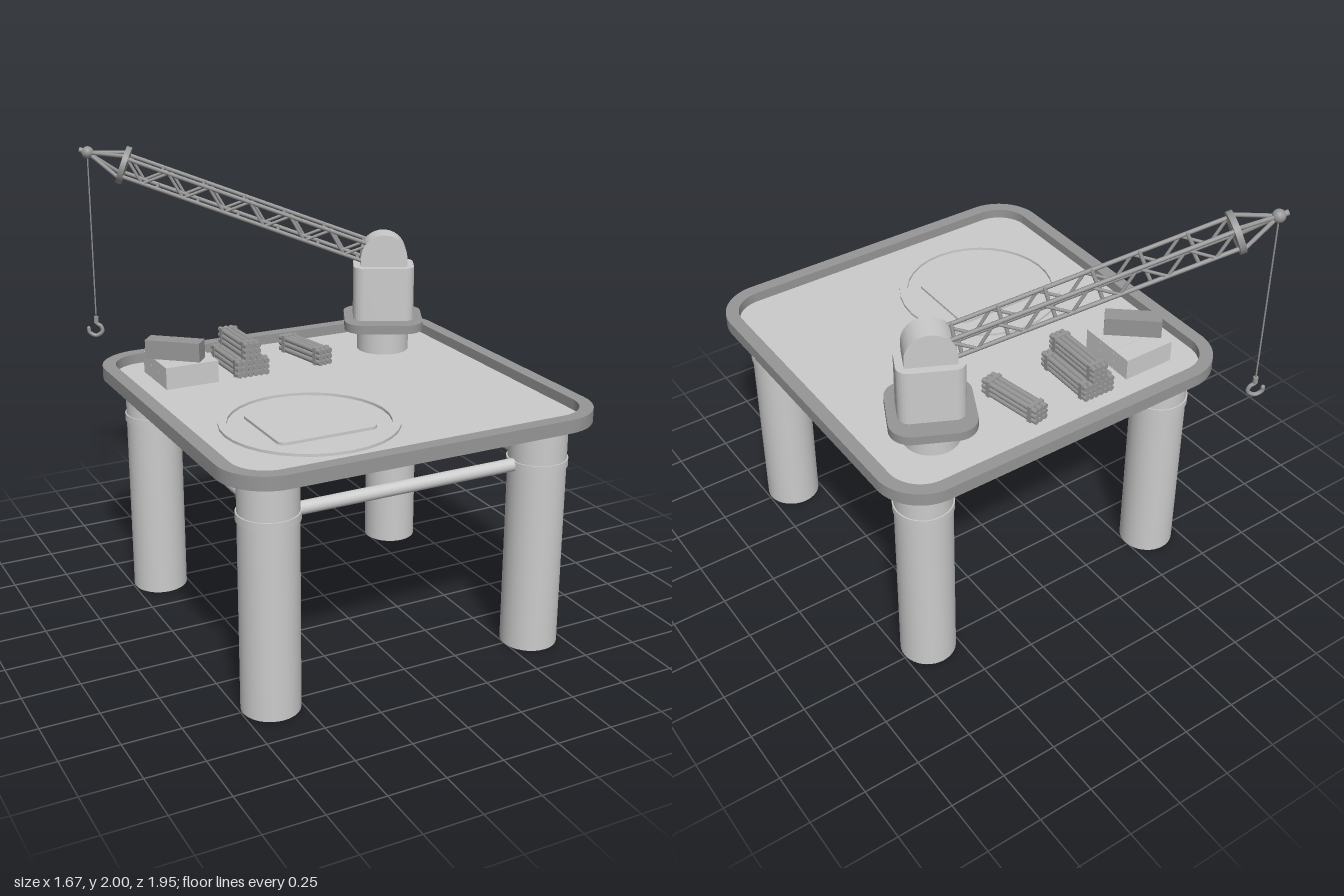
import * as THREE from 'three';
import { toCreasedNormals } from 'three/addons/utils/BufferGeometryUtils.js';

const light = new THREE.MeshStandardMaterial({ color: 0xcccccc });
const dark = new THREE.MeshStandardMaterial({ color: 0x969696 });
const V = (x, y, z) => new THREE.Vector3(x, y, z);

function add(parent, name, geometry, material, x = 0, y = 0, z = 0) {
  const mesh = new THREE.Mesh(geometry, material);
  mesh.name = name;
  mesh.position.set(x, y, z);
  parent.add(mesh);
  return mesh;
}

function group(parent, name, x = 0, y = 0, z = 0) {
  const g = new THREE.Group();
  g.name = name;
  g.position.set(x, y, z);
  parent.add(g);
  return g;
}

// Straight round bar between two points
function rod(parent, name, a, b, r, material, sides = 8) {
  const mesh = add(parent, name, new THREE.CylinderGeometry(r, r, a.distanceTo(b), sides), material);
  mesh.position.copy(a).lerp(b, 0.5);
  mesh.quaternion.setFromUnitVectors(V(0, 1, 0), b.clone().sub(a).normalize());
  return mesh;
}

// Rounded rectangle outline with half sizes w, d and corner radius r
function roundedRect(w, d, r, Type = THREE.Shape) {
  const s = new Type();
  s.absarc(w - r, d - r, r, 0, Math.PI / 2);
  s.absarc(-w + r, d - r, r, Math.PI / 2, Math.PI);
  s.absarc(-w + r, -d + r, r, Math.PI, 1.5 * Math.PI);
  s.absarc(w - r, -d + r, r, 1.5 * Math.PI, 2 * Math.PI);
  s.closePath();
  return s;
}

// Plate lying flat, its underside at y = 0
function plate(shape, height) {
  const g = new THREE.ExtrudeGeometry(shape, { depth: height, bevelEnabled: false, curveSegments: 16 });
  g.rotateX(-Math.PI / 2);
  return toCreasedNormals(g, 0.6);
}

function buildTable(root) {
  const table = group(root, 'table', 0, 0, 0.135);
  add(table, 'deckFloor', plate(roundedRect(0.8, 0.8, 0.17), 0.012), light, 0, 1.028, 0);
  const rim = roundedRect(0.837, 0.837, 0.21);
  rim.holes.push(roundedRect(0.778, 0.778, 0.15, THREE.Path));
  add(table, 'deckRim', plate(rim, 0.058), dark, 0, 1.027, 0);

  // Legs with collars, joined by rails
  const p = 0.62;
  for (const sx of [-1, 1]) {
    for (const sz of [-1, 1]) {
      add(table, 'leg', new THREE.CylinderGeometry(0.123, 0.123, 1.03, 40), light, sx * p, 0.515, sz * p);
      add(table, 'legCollar', new THREE.CylinderGeometry(0.129, 0.129, 0.034, 40), light, sx * p, 0.84, sz * p);
    }
    rod(table, 'sideRail', V(sx * p, 0.838, -p), V(sx * p, 0.838, p), 0.028, light, 20);
    rod(table, 'crossRail', V(-p, 0.838, sx * p), V(p, 0.838, sx * p), 0.028, light, 20);
  }

  // Round landing pad on the deck
  const ring = new THREE.Shape().absarc(0, 0, 0.375, 0, Math.PI * 2);
  ring.holes.push(new THREE.Path().absarc(0, 0, 0.339, 0, Math.PI * 2));
  const pad = group(table, 'landingPad', -0.274, 1.04, 0.279);
  add(pad, 'padRing', plate(ring, 0.012), light);
  add(pad, 'padPlate', plate(roundedRect(0.222, 0.19, 0.035), 0.012), light, 0.002, 0, -0.003);
}

// Nine logs held by two straps
function logBundle(parent, x, y, z, turn = 0) {
  const bundle = group(parent, 'logBundle', x, y, z);
  bundle.rotation.y = turn;
  const d = 0.026;
  for (let i = -1; i <= 1; i++) {
    for (let j = 0; j < 3; j++) {
      const cy = d * (j + 0.5);
      rod(bundle, 'log', V(i * d, cy, -0.155), V(i * d, cy, 0.155), d / 2, dark, 12);
    }
  }
  for (const sz of [-0.12, 0.12]) {
    add(bundle, 'strap', new THREE.BoxGeometry(3 * d + 0.003, 3 * d + 0.003, 0.02), dark, 0, 1.5 * d, sz);
  }
}

function buildCargo(root) {
  const cargo = group(root, 'cargo');
  for (let i = -1; i <= 1; i++) {
    add(cargo, 'crate', new THREE.BoxGeometry(0.245, 0.1, 0.0925), light, -0.525, 1.089, -0.37 + i * 0.0935);
  }
  const top = add(cargo, 'topCrate', new THREE.BoxGeometry(0.25, 0.085, 0.08), dark, -0.557, 1.1815, -0.352);
  top.rotation.y = -0.7;
  logBundle(cargo, -0.275, 1.04, -0.38);
  logBundle(cargo, -0.196, 1.04, -0.38);
  logBundle(cargo, -0.236, 1.118, -0.38);
  logBundle(cargo, 0.096, 1.04, -0.38, 0.19);
}

// Lattice arm running along local +x
function buildArm(crane) {
  const arm = group(crane, 'latticeArm', 0.08, 1.51, 0);
  arm.rotation.z = 0.347;
  const L = 1.17, h = 0.042, w = 0.05, bays = 6, step = L / bays;
  for (const sz of [-w, w]) {
    for (const sy of [-h, h]) {
      rod(arm, 'chord', V(0, sy, sz), V(L, sy, sz), 0.0095, dark);
      rod(arm, 'tipStay', V(L, sy * 1.3, sz * 1.1), V(1.35, 0, 0), 0.009, dark);
    }
    for (let i = 0; i < bays; i++) {
      const x = i * step;
      rod(arm, 'diagonal', V(x, h, sz), V(x + step / 2, -h, sz), 0.007, dark);
      rod(arm, 'diagonal', V(x + step / 2, -h, sz), V(x + step, h, sz), 0.007, dark);
    }
  }
  for (let i = 0; i <= bays; i++) {
    const x = Math.min(i * step + 0.03, L);
    for (const sy of [-h, h]) rod(arm, 'crossbar', V(x, sy, -w), V(x, sy, w), 0.008, dark);
  }
  rod(arm, 'endDisc', V(1.165, 0, 0), V(1.19, 0, 0), 0.088, dark, 36);
  add(arm, 'tipBall', new THREE.SphereGeometry(0.028, 20, 14), dark, 1.35, 0, 0);
  rod(arm, 'tipPin', V(1.35, 0, 0), V(1.39, 0, 0), 0.012, dark, 12);
}

function buildCrane(root) {
  const crane = group(root, 'crane', 0.492, 0, -0.354);
  crane.rotation.y = Math.PI - 0.456;
  add(crane, 'pedestal', new THREE.CylinderGeometry(0.121, 0.121, 0.125, 40), light, 0, 1.1, 0);
  add(crane, 'turntable', plate(roundedRect(0.182, 0.182, 0.095), 0.04), dark, 0, 1.157, 0);
  add(crane, 'cab', plate(roundedRect(0.14, 0.1, 0.05), 0.252), light, 0, 1.195, 0);

  // Arched housing over the arm pivot
  const arch = new THREE.Shape();
  arch.moveTo(-0.107, -0.06);
  arch.lineTo(0.107, -0.06);
  arch.absarc(0, 0, 0.107, 0, Math.PI);
  arch.closePath();
  const g = new THREE.ExtrudeGeometry(arch, { depth: 0.128, bevelEnabled: false, curveSegments: 28 });
  g.translate(0, 0, -0.064);
  add(crane, 'pivotHousing', toCreasedNormals(g, 0.6), light, 0, 1.488, 0);

  buildArm(crane);

  // Cable and hook
  const x = 1.351;
  rod(crane, 'cable', V(x, 1.18, 0), V(x, 1.968, 0), 0.0035, dark, 6);
  rod(crane, 'hookSocket', V(x, 1.165, 0), V(x, 1.195, 0), 0.011, dark, 12);
  const curve = new THREE.CatmullRomCurve3([
    V(0, 0.06, 0), V(0, 0.04, 0), V(-0.022, 0.022, 0), V(-0.026, -0.003, 0),
    V(0.004, -0.022, 0), V(0.034, -0.006, 0), V(0.037, 0.014, 0),
  ]);
  add(crane, 'hook', new THREE.TubeGeometry(curve, 36, 0.009, 10), dark, x, 1.125, 0);
  add(crane, 'hookTip', new THREE.SphereGeometry(0.009, 10, 8), dark, x + 0.037, 1.139, 0);
}

export function createModel() {
  const root = new THREE.Group();
  root.name = 'craneTable';
  buildTable(root);
  buildCargo(root);
  buildCrane(root);
  return root;
}
